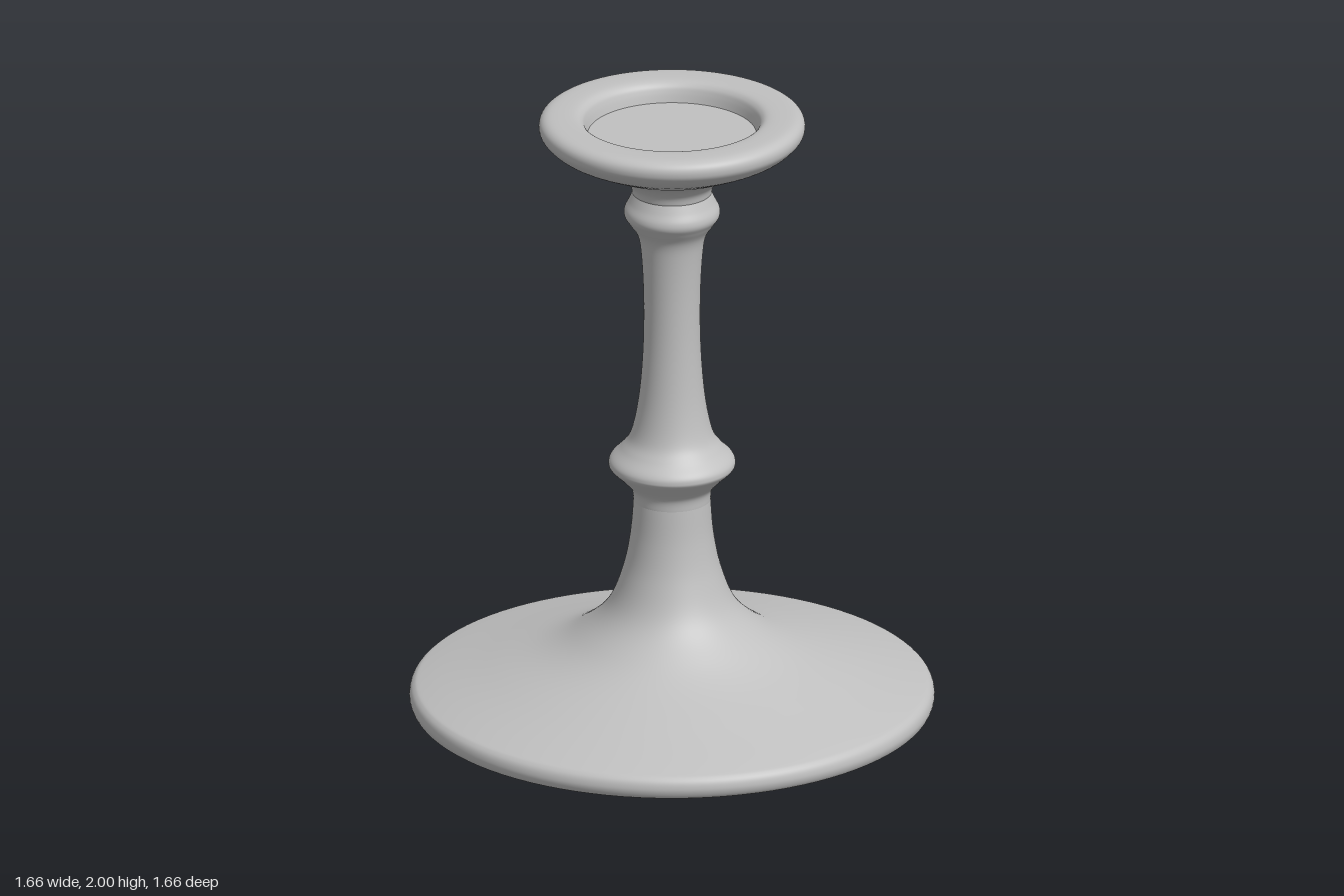
import * as THREE from 'three';

const SEGMENTS = 96;

// Smooth curve through [radius, height] points, sampled for a lathe
function profile(points, samples) {
  const curve = new THREE.SplineCurve(points.map(([r, y]) => new THREE.Vector2(r, y)));
  return curve.getPoints(samples);
}

export function createModel() {
  const group = new THREE.Group();
  group.name = 'candlestick';
  const grey = new THREE.MeshStandardMaterial({ color: 0xc0c0c0 });
  grey.name = 'plain grey';

  const add = (name, geometry) => {
    const mesh = new THREE.Mesh(geometry, grey);
    mesh.name = name;
    group.add(mesh);
    return mesh;
  };
  const turned = (name, points, samples) =>
    add(name, new THREE.LatheGeometry(profile(points, samples), SEGMENTS));

  // Wide flared foot with a rounded edge
  turned('foot', [
    [0.8, 0], [0.82, 0.012], [0.828, 0.04], [0.815, 0.07], [0.77, 0.088],
    [0.58, 0.142], [0.4, 0.2], [0.29, 0.262], [0.205, 0.345], [0.157, 0.46],
    [0.132, 0.58], [0.122, 0.7]
  ], 77);

  // Stem with a large lower knop and a small upper knop
  turned('stem', [
    [0.122, 0.7], [0.128, 0.738], [0.16, 0.775], [0.194, 0.808], [0.2, 0.825],
    [0.192, 0.845], [0.16, 0.878], [0.132, 0.92], [0.112, 1.0], [0.098, 1.11],
    [0.09, 1.25], [0.09, 1.4], [0.097, 1.53], [0.108, 1.595], [0.134, 1.637],
    [0.15, 1.662], [0.15, 1.685], [0.137, 1.712], [0.125, 1.74]
  ], 126);

  // Flared cup, rolled rim and the wall of its recess
  turned('cup', [
    [0.125, 1.74], [0.136, 1.772], [0.18, 1.81], [0.28, 1.856], [0.37, 1.9],
    [0.41, 1.935], [0.42, 1.96], [0.414, 1.983], [0.392, 1.997], [0.35, 2],
    [0.305, 1.997], [0.284, 1.985], [0.274, 1.965], [0.266, 1.935]
  ], 91);

  // Flat floor of the recess
  const floor = add('cupFloor', new THREE.CircleGeometry(0.266, SEGMENTS));
  floor.rotation.x = -Math.PI / 2;
  floor.position.y = 1.935;

  // Flat underside
  const underside = add('underside', new THREE.CircleGeometry(0.8, SEGMENTS));
  underside.rotation.x = Math.PI / 2;

  return group;
}
